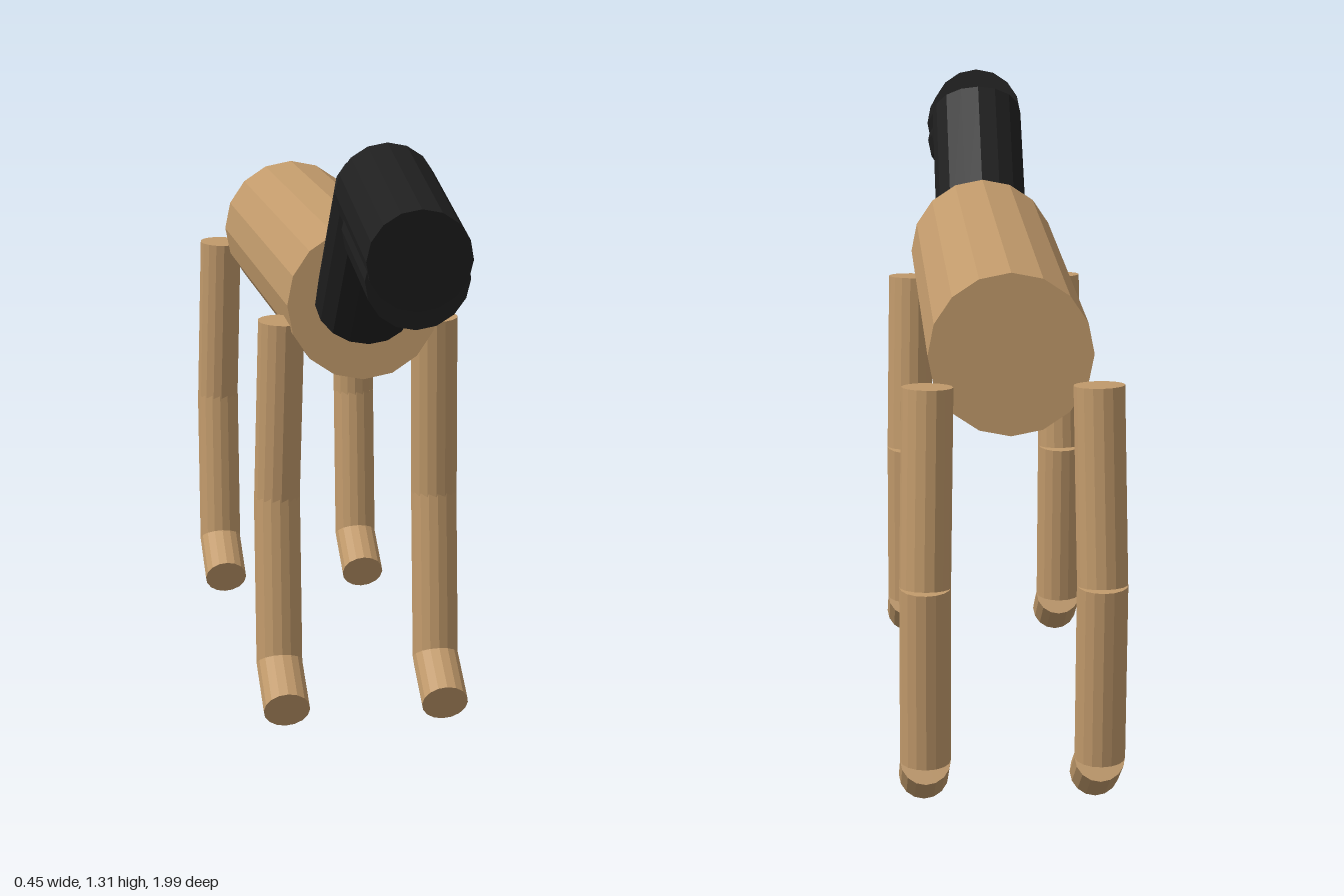
import * as THREE from 'three';

const UP = new THREE.Vector3(0, 1, 0);

export function createModel() {
  const tan = new THREE.MeshStandardMaterial({ color: 0xc19a6b, flatShading: true });
  tan.name = 'tan';
  const black = new THREE.MeshStandardMaterial({ color: 0x1f1f1f, flatShading: true });
  black.name = 'black';

  // Faceted cylinder running from point a to point b
  function limb(name, a, b, radius, material) {
    const start = new THREE.Vector3(...a);
    const axis = new THREE.Vector3(...b).sub(start);
    const length = axis.length();
    const mesh = new THREE.Mesh(new THREE.CylinderGeometry(radius, radius, length, 16), material);
    mesh.name = name;
    mesh.position.copy(start).addScaledVector(axis, 0.5);
    mesh.quaternion.setFromUnitVectors(UP, axis.normalize());
    return mesh;
  }

  const model = new THREE.Group();
  model.name = 'dog';

  // Body, neck and head
  model.add(
    limb('body', [0, 0.93, -0.837], [0, 0.93, 0.3], 0.165, tan),
    limb('neck', [0, 0.93, 0.3], [0, 1.21, 0.58], 0.105, black),
    limb('head', [0, 1.21, 0.58], [0, 1.13, 0.98], 0.105, black),
    limb('jaw', [0, 1.147, 0.665], [0, 1.09, 0.959], 0.104, black),
  );

  // Four matching legs: thigh, shin and foot
  for (const [end, dz] of [['front', 0], ['hind', -1.138]]) {
    for (const [sideName, side] of [['Left', 1], ['Right', -1]]) {
      const leg = new THREE.Group();
      leg.name = end + sideName + 'Leg';
      const hip = [side * 0.168, 0.885, 0.225 + dz];
      const knee = [side * 0.175, 0.488, 0.195 + dz];
      const ankle = [side * 0.175, 0.119, 0.225 + dz];
      const toe = [side * 0.175, 0.045, 0.346 + dz];
      leg.add(
        limb('upperLeg', hip, knee, 0.051, tan),
        limb('lowerLeg', knee, ankle, 0.051, tan),
        limb('foot', ankle, toe, 0.051, tan),
      );
      model.add(leg);
    }
  }
  return model;
}
